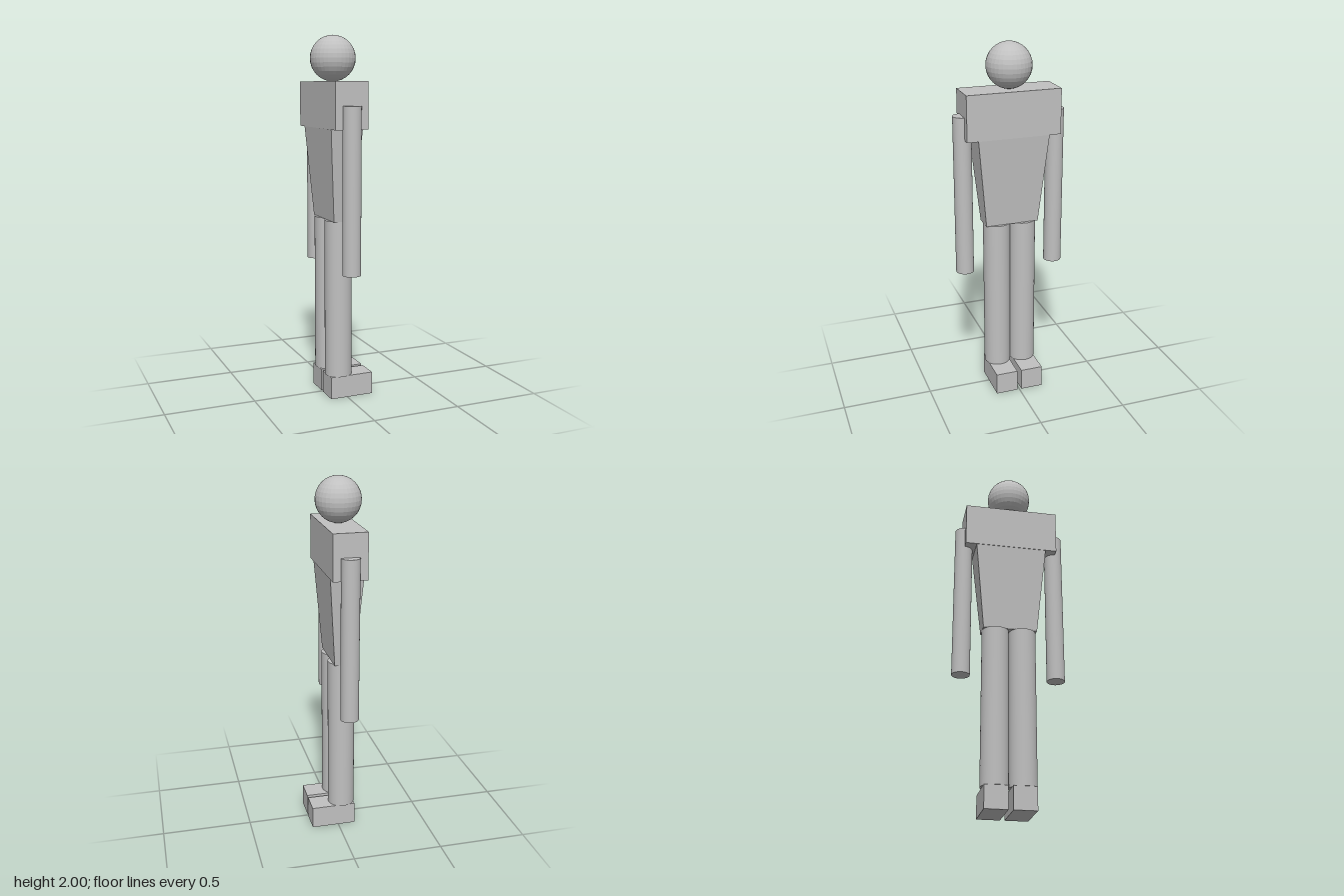
import * as THREE from 'three';

export function createModel() {
  const model = new THREE.Group();
  const grey = new THREE.MeshStandardMaterial({ color: 0xc0c0c0 });
  grey.name = 'plain grey';
  const greyFaceted = grey.clone();
  greyFaceted.flatShading = true;
  const AXIS = -0.03; // body axis; the feet point toward +x

  const add = (name, geometry, x, y, z, material = grey) => {
    const mesh = new THREE.Mesh(geometry, material);
    mesh.name = name;
    mesh.position.set(x, y, z);
    model.add(mesh);
  };

  // Head and shoulder block
  add('head', new THREE.SphereGeometry(0.124, 32, 16), AXIS, 1.876, 0, greyFaceted);
  add('shoulders', new THREE.BoxGeometry(0.187, 0.25, 0.526), AXIS, 1.628, 0);

  // Torso: a box narrowing toward the waist
  const torso = new THREE.BoxGeometry(0.182, 0.503, 0.4);
  const p = torso.attributes.position;
  for (let i = 0; i < p.count; i++) {
    if (p.getY(i) < 0) {
      p.setX(i, Math.sign(p.getX(i)) * 0.055);
      p.setZ(i, Math.sign(p.getZ(i)) * 0.15);
    }
  }
  torso.computeVertexNormals();
  add('torso', torso, AXIS, 1.2535, 0);

  // Paired limbs
  const arm = new THREE.CylinderGeometry(0.05, 0.05, 0.896, 48);
  const leg = new THREE.CylinderGeometry(0.075, 0.075, 0.878, 48);
  const foot = new THREE.BoxGeometry(0.249, 0.125, 0.126);
  for (const [side, s] of [['right', 1], ['left', -1]]) {
    add(side + 'Arm', arm, AXIS, 1.178, s * 0.263);
    add(side + 'Leg', leg, AXIS, 0.564, s * 0.0755);
    add(side + 'Foot', foot, 0.0275, 0.0625, s * 0.0755);
  }
  return model;
}
